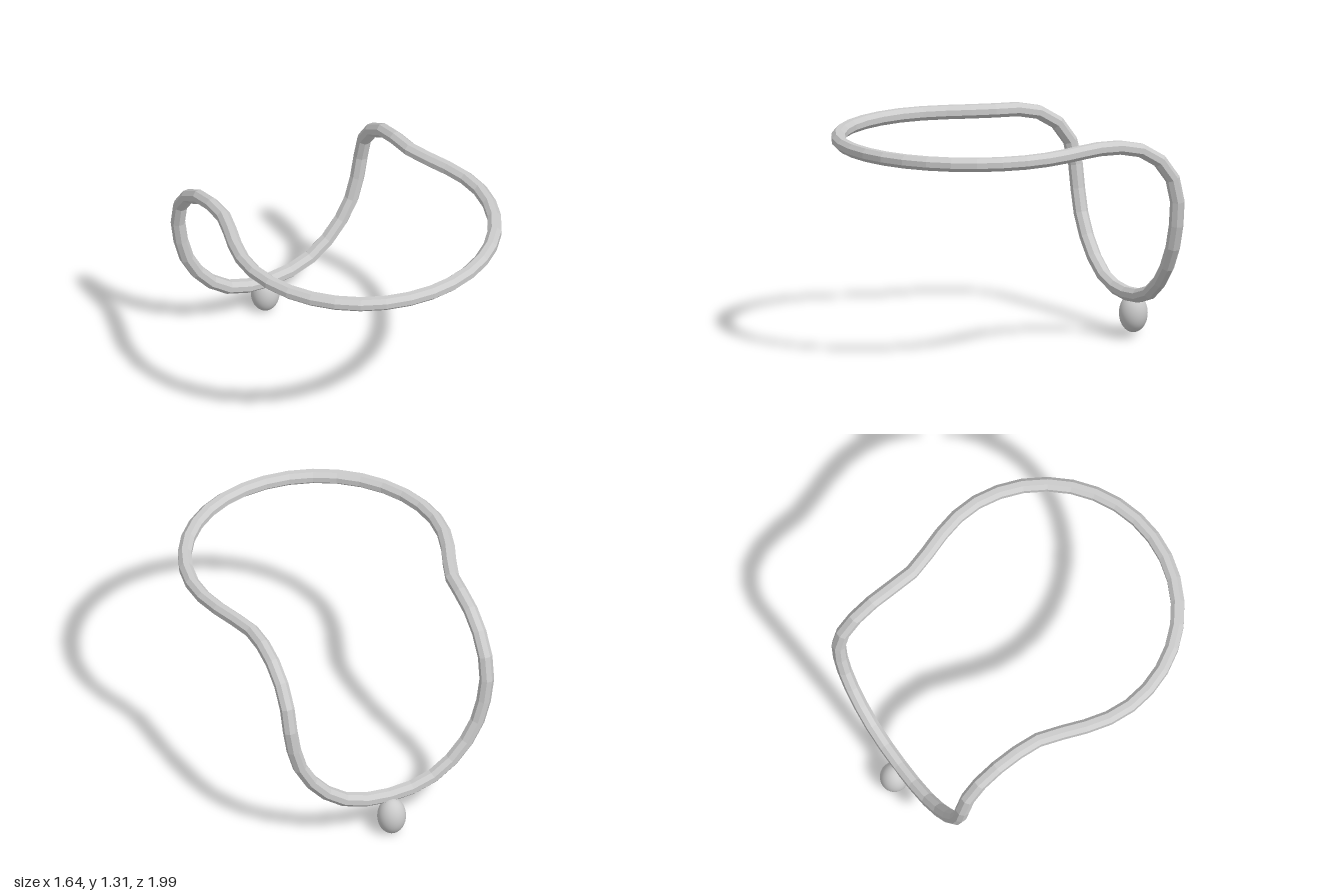
import * as THREE from 'three';

const SEGMENTS = 48;   // steps along the closed rod
const SIDES = 8;       // octagonal rod section
const RADIUS = 0.0433; // corner radius of the section

// Closed centre line: one half from the front of the hoop to the bottom of the arch, then mirrored
function rodPath() {
  const half = [];
  // round front of the hoop
  for (let i = 0; i <= 6; i++) {
    const a = (i / 6) * Math.PI / 2;
    half.push([0.78 * Math.sin(a), 1.27, 0.18 + 0.77 * Math.cos(a)]);
  }
  half.push(
    // narrowing neck
    [0.752, 1.27, 0.0], [0.69, 1.27, -0.18], [0.641, 1.27, -0.34],
    // bend down at the back
    [0.634, 1.265, -0.48], [0.634, 1.235, -0.62], [0.634, 1.165, -0.74],
    [0.634, 1.06, -0.825], [0.632, 0.93, -0.863],
    // hanging arch
    [0.617, 0.8, -0.87], [0.565, 0.61, -0.87], [0.475, 0.46, -0.87],
    [0.36, 0.345, -0.87], [0.225, 0.27, -0.87], [0, 0.238, -0.87],
  );
  const mirrored = half.slice(1, -1).reverse().map(([x, y, z]) => [-x, y, z]);
  const points = [...half, ...mirrored].map((p) => new THREE.Vector3(...p));
  return new THREE.CatmullRomCurve3(points, true, 'centripetal');
}

// Sweeps the octagon, its top side turning from up (hoop) to backward (arch) round the bend
function rodGeometry() {
  const path = rodPath();
  path.arcLengthDivisions = 800;
  const positions = [];
  const index = [];
  for (let i = 0; i < SEGMENTS; i++) {
    const p = path.getPointAt(i / SEGMENTS);
    const t = path.getTangentAt(i / SEGMENTS);
    const turn = Math.atan2(Math.max(0, -0.47 - p.z), Math.max(0, p.y - 0.87));
    const n = new THREE.Vector3(0, Math.cos(turn), -Math.sin(turn));
    n.addScaledVector(t, -n.dot(t)).normalize();
    const b = new THREE.Vector3().crossVectors(t, n);
    for (let j = 0; j < SIDES; j++) {
      const a = ((j + 0.5) / SIDES) * Math.PI * 2;
      const v = p.clone()
        .addScaledVector(b, RADIUS * Math.cos(a))
        .addScaledVector(n, RADIUS * Math.sin(a));
      positions.push(v.x, v.y, v.z);
      const i2 = (i + 1) % SEGMENTS;
      const j2 = (j + 1) % SIDES;
      const q00 = i * SIDES + j, q01 = i * SIDES + j2;
      const q10 = i2 * SIDES + j, q11 = i2 * SIDES + j2;
      index.push(q00, q10, q01, q01, q10, q11);
    }
  }
  const geometry = new THREE.BufferGeometry();
  geometry.setAttribute('position', new THREE.Float32BufferAttribute(positions, 3));
  geometry.setIndex(index);
  geometry.computeVertexNormals();
  return geometry;
}

export function createModel() {
  const model = new THREE.Group();
  model.name = 'bentHoop';

  // Bent closed rod
  const rod = new THREE.Mesh(
    rodGeometry(),
    new THREE.MeshStandardMaterial({ color: 0xcccccc, flatShading: true }),
  );
  rod.name = 'rod';
  model.add(rod);

  // Egg-shaped bead under the arch
  const bead = new THREE.Mesh(
    new THREE.SphereGeometry(1, 32, 20),
    new THREE.MeshStandardMaterial({ color: 0xcccccc }),
  );
  bead.name = 'bead';
  bead.scale.set(0.085, 0.116, 0.085);
  bead.position.set(0, 0.118, -0.913);
  model.add(bead);

  return model;
}
